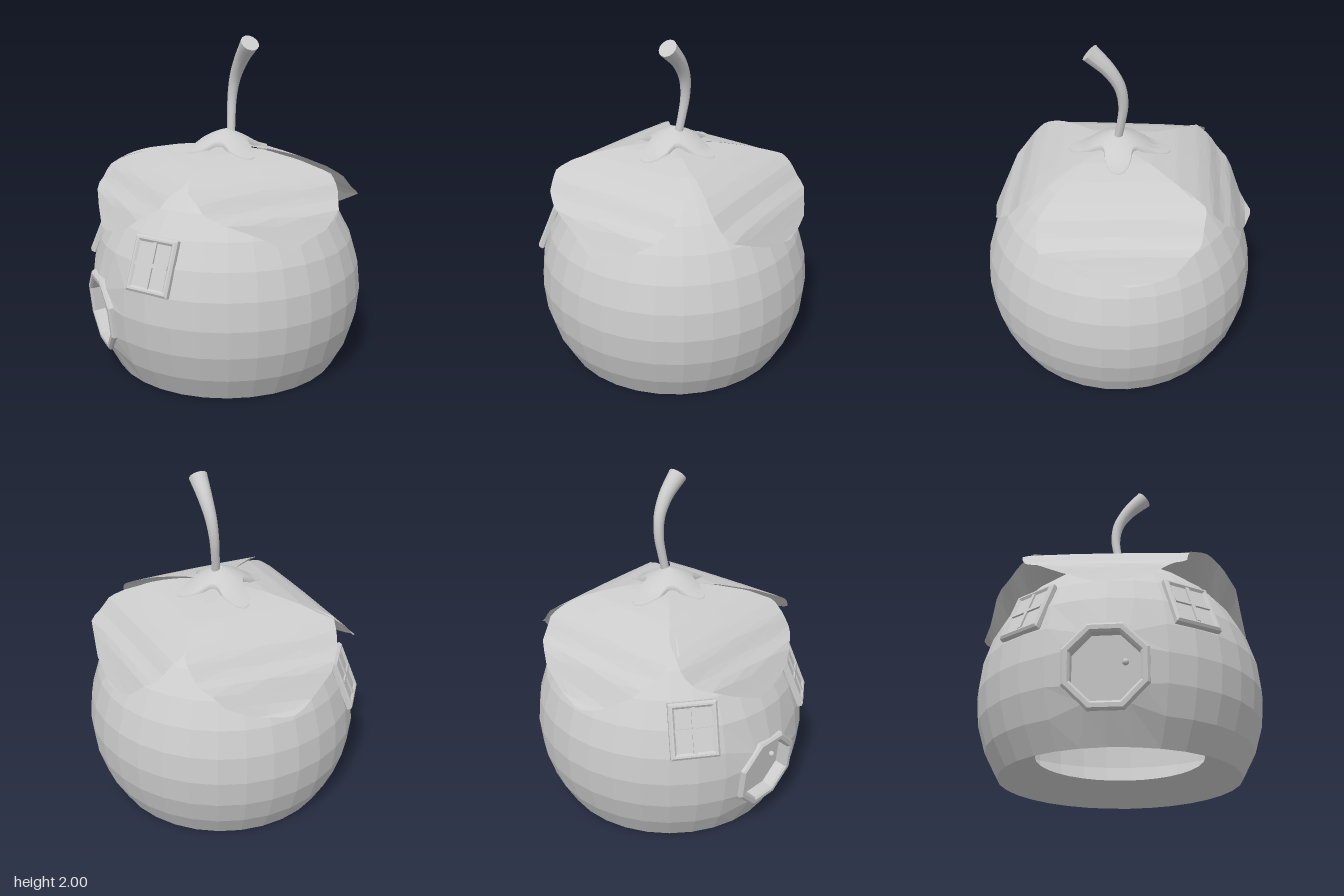
import * as THREE from 'three';
import { ParametricGeometry } from 'three/addons/geometries/ParametricGeometry.js';

const flat = new THREE.MeshStandardMaterial({ color: 0xcccccc, flatShading: true, side: THREE.DoubleSide });
const smooth = new THREE.MeshStandardMaterial({ color: 0xcccccc, side: THREE.DoubleSide });
const R = 0.84;
const CENTRE = new THREE.Vector3(0, 0.47, 0);
const DOOR_Y = 0.39;

function part(name, geometry, material = flat) {
  const mesh = new THREE.Mesh(geometry, material);
  mesh.name = name;
  return mesh;
}

// Piecewise linear lookup: rows are [key, value, value...]
function lookup(rows, key, column) {
  let i = 0;
  while (i < rows.length - 2 && key > rows[i + 1][0]) i++;
  const [a, b] = [rows[i], rows[i + 1]];
  return THREE.MathUtils.mapLinear(key, a[0], b[0], a[column], b[column]);
}

// Stand a group on the shell with its +z pointing outward
function placeOnShell(group, y, azimuth) {
  const dy = y - CENTRE.y;
  const r = Math.sqrt(R * R - dy * dy) - 0.005;
  group.position.set(Math.cos(azimuth) * r, y, Math.sin(azimuth) * r);
  group.lookAt(group.position.clone().multiplyScalar(2).sub(CENTRE));
  return group;
}

// Faceted round body, open below with an inward sloping lip and a round doorway
function makeShell() {
  const profile = [new THREE.Vector2(0.49, 0.135)];
  for (let k = -3; k <= 8; k++) {
    const a = (k * Math.PI) / 16;
    profile.push(new THREE.Vector2(Math.max(0, R * Math.cos(a)), Math.max(0, CENTRE.y + R * Math.sin(a))));
  }
  const geo = new THREE.LatheGeometry(profile, 32);
  const pos = geo.attributes.position;
  const v = new THREE.Vector3();
  const atDoor = (x, y, z, m) => x < -0.7 && Math.abs(z) < 0.16 + m && y > 0.15 - m && y < 0.63 + m;

  // Leave out the faces behind the door
  const old = geo.index.array, kept = [];
  for (let i = 0; i < old.length; i += 3) {
    const c = new THREE.Vector3();
    for (let j = 0; j < 3; j++) c.add(v.fromBufferAttribute(pos, old[i + j]));
    c.divideScalar(3);
    if (!atDoor(c.x, c.y, c.z, 0)) kept.push(old[i], old[i + 1], old[i + 2]);
  }
  geo.setIndex(kept);

  // Round off the opening so that the door frame hides its edge
  for (let i = 0; i < pos.count; i++) {
    v.fromBufferAttribute(pos, i);
    if (!atDoor(v.x, v.y, v.z, 0.015)) continue;
    const s = 0.212 / Math.hypot(v.y - DOOR_Y, v.z);
    v.set(v.x, DOOR_Y + (v.y - DOOR_Y) * s, v.z * s);
    v.sub(CENTRE).setLength(R).add(CENTRE);
    pos.setXYZ(i, v.x, v.y, v.z);
  }
  geo.computeVertexNormals();
  return part('shell', geo);
}

// Outline with straight sides
function polygon(Type, radius, sides) {
  const path = new Type();
  for (let i = 0; i < sides; i++) {
    const a = ((i + 0.5) * 2 * Math.PI) / sides;
    path[i ? 'lineTo' : 'moveTo'](radius * Math.cos(a), radius * Math.sin(a));
  }
  path.closePath();
  return path;
}

function rectangle(Type, w, h) {
  const path = new Type();
  path.moveTo(-w / 2, -h / 2).lineTo(w / 2, -h / 2).lineTo(w / 2, h / 2).lineTo(-w / 2, h / 2);
  path.closePath();
  return path;
}

function frame(outer, hole, back, front) {
  const bevel = 0.012;
  outer.holes.push(hole);
  const geo = new THREE.ExtrudeGeometry(outer, {
    depth: front - back - 2 * bevel, bevelEnabled: true, bevelSegments: 1,
    bevelThickness: bevel, bevelSize: bevel, bevelOffset: -bevel,
  });
  return geo.translate(0, 0, back + bevel);
}

// Eight-sided door set back in its frame
function makeDoor() {
  const door = new THREE.Group();
  door.name = 'door';
  door.add(part('doorFrame', frame(polygon(THREE.Shape, 0.246, 8), polygon(THREE.Path, 0.195, 8), -0.14, -0.004)));
  const panel = part('doorPanel', new THREE.ExtrudeGeometry(polygon(THREE.Shape, 0.21, 8), { depth: 0.02, bevelEnabled: false }));
  panel.position.z = -0.1;
  const knob = part('doorKnob', new THREE.SphereGeometry(0.018, 10, 8), smooth);
  knob.position.set(0.1, 0.03, -0.065);
  door.add(panel, knob);
  return placeOnShell(door, DOOR_Y, Math.PI);
}

// Four-pane window
function makeWindow(azimuth) {
  const win = new THREE.Group();
  win.name = 'window';
  win.add(part('windowFrame', frame(rectangle(THREE.Shape, 0.28, 0.32), rectangle(THREE.Path, 0.21, 0.25), -0.024, 0.024)));
  const pane = part('windowPane', new THREE.BoxGeometry(0.22, 0.26, 0.01));
  const upright = part('windowBar', new THREE.BoxGeometry(0.022, 0.26, 0.03));
  const crossbar = part('windowBar', new THREE.BoxGeometry(0.22, 0.022, 0.03));
  for (const piece of [pane, upright, crossbar]) piece.position.z = 0.007;
  win.add(pane, upright, crossbar);
  return placeOnShell(win, 0.79, azimuth);
}

// Leaf height by distance from the stem
const DROOP = [[0.05, 1.345], [0.2, 1.327], [0.35, 1.288], [0.48, 1.23], [0.56, 1.175], [0.62, 1.1], [0.69, 1.045], [0.74, 0.95], [0.78, 0.88], [0.83, 0.86]];

// Leaf rows are [distance, one edge, other edge]; skew sets the folds askew
const LEAVES = [
  { turn: 0, skew: 0.09, rows: [[0.08, -0.08, 0.08], [0.3, -0.28, 0.3], [0.46, -0.42, 0.48], [0.55, -0.46, 0.47], [0.65, -0.41, 0.42], [0.71, -0.3, 0.3], [0.74, -0.12, 0.17], [0.77, 0.03, 0.07]] },
  { turn: Math.PI / 2, skew: 0.12, rows: [[0.08, -0.08, 0.08], [0.3, -0.22, 0.36], [0.43, -0.28, 0.55], [0.6, -0.38, 0.53], [0.7, -0.38, 0.4], [0.74, -0.35, 0.27], [0.765, -0.1, 0.16]] },
  { turn: Math.PI, skew: 0.06, rows: [[0.08, -0.08, 0.08], [0.3, -0.26, 0.33], [0.45, -0.38, 0.53], [0.57, -0.43, 0.5], [0.68, -0.39, 0.42], [0.75, -0.28, 0.26], [0.8, -0.03, 0.17], [0.82, 0.06, 0.12]] },
  { turn: -Math.PI / 2, skew: 0.06, rows: [[0.08, -0.08, 0.08], [0.3, -0.3, 0.32], [0.44, -0.44, 0.45], [0.6, -0.51, 0.43], [0.7, -0.44, 0.3], [0.75, -0.22, 0.15], [0.775, -0.08, 0]] },
];

function makeLeaf({ turn, skew, rows }) {
  const d0 = rows[0][0], d1 = rows[rows.length - 1][0];
  const geo = new ParametricGeometry((u, v, target) => {
    const d = d0 + (d1 - d0) * v;
    const s = THREE.MathUtils.lerp(lookup(rows, d, 1), lookup(rows, d, 2), u);
    target.set(s, lookup(DROOP, d + skew * s, 1) - 0.03 * s * s, d);
  }, 4, 22);
  const leaf = part('leaf', geo);
  leaf.rotation.y = turn;
  return leaf;
}

// Four-armed star cap resting on the leaves, with a short turned-down rim
function makeCap() {
  const arms = [0.29, 0.3, 0.26, 0.31];
  const cap = part('cap', new ParametricGeometry((u, v, target) => {
    const a = u * 2 * Math.PI;
    const arm = arms[Math.round(u * 4) % 4];
    const reach = 0.135 + (arm - 0.135) * Math.pow((1 + Math.cos(4 * a)) / 2, 1.4);
    const r = reach * Math.min(1, v / 0.875);
    const y = Math.max(1.442 - 0.25 * r - 1.15 * r * r, lookup(DROOP, r, 1) + 0.014);
    target.set(r * Math.cos(a), y - (v > 0.9 ? 0.035 : 0), r * Math.sin(a));
  }, 48, 8), smooth);
  cap.rotation.y = 0.09;
  return cap;
}

// Curved stem that thickens towards its cut end
function makeStem() {
  const curve = new THREE.CatmullRomCurve3([
    [0.034, 1.41, 0], [0.045, 1.52, -0.02], [0.056, 1.63, -0.033], [0.068, 1.75, -0.015], [0.079, 1.86, 0.05], [0.085, 1.96, 0.153],
  ].map((p) => new THREE.Vector3(...p)));
  const steps = 20, sides = 14;
  const geo = new THREE.TubeGeometry(curve, steps, 1, sides);
  const pos = geo.attributes.position;
  const v = new THREE.Vector3();
  for (let i = 0; i < pos.count; i++) {
    const t = Math.floor(i / (sides + 1)) / steps;
    const c = curve.getPointAt(t);
    v.fromBufferAttribute(pos, i).sub(c).multiplyScalar(0.025 + 0.031 * t * t).add(c);
    pos.setXYZ(i, v.x, v.y, v.z);
  }
  geo.computeVertexNormals();
  const stem = new THREE.Group();
  stem.name = 'stem';
  const end = part('stemEnd', new THREE.CircleGeometry(0.056, sides));
  end.position.copy(curve.getPointAt(1));
  end.lookAt(end.position.clone().add(curve.getTangentAt(1)));
  stem.add(part('stemShaft', geo, smooth), end);
  return stem;
}

export function createModel() {
  const house = new THREE.Group();
  house.name = 'fruitHouse';
  house.add(makeShell(), makeDoor(), makeCap(), makeStem());
  for (const side of [-1, 1]) house.add(makeWindow(Math.PI + side * 0.61));
  for (const leaf of LEAVES) house.add(makeLeaf(leaf));
  return house;
}
